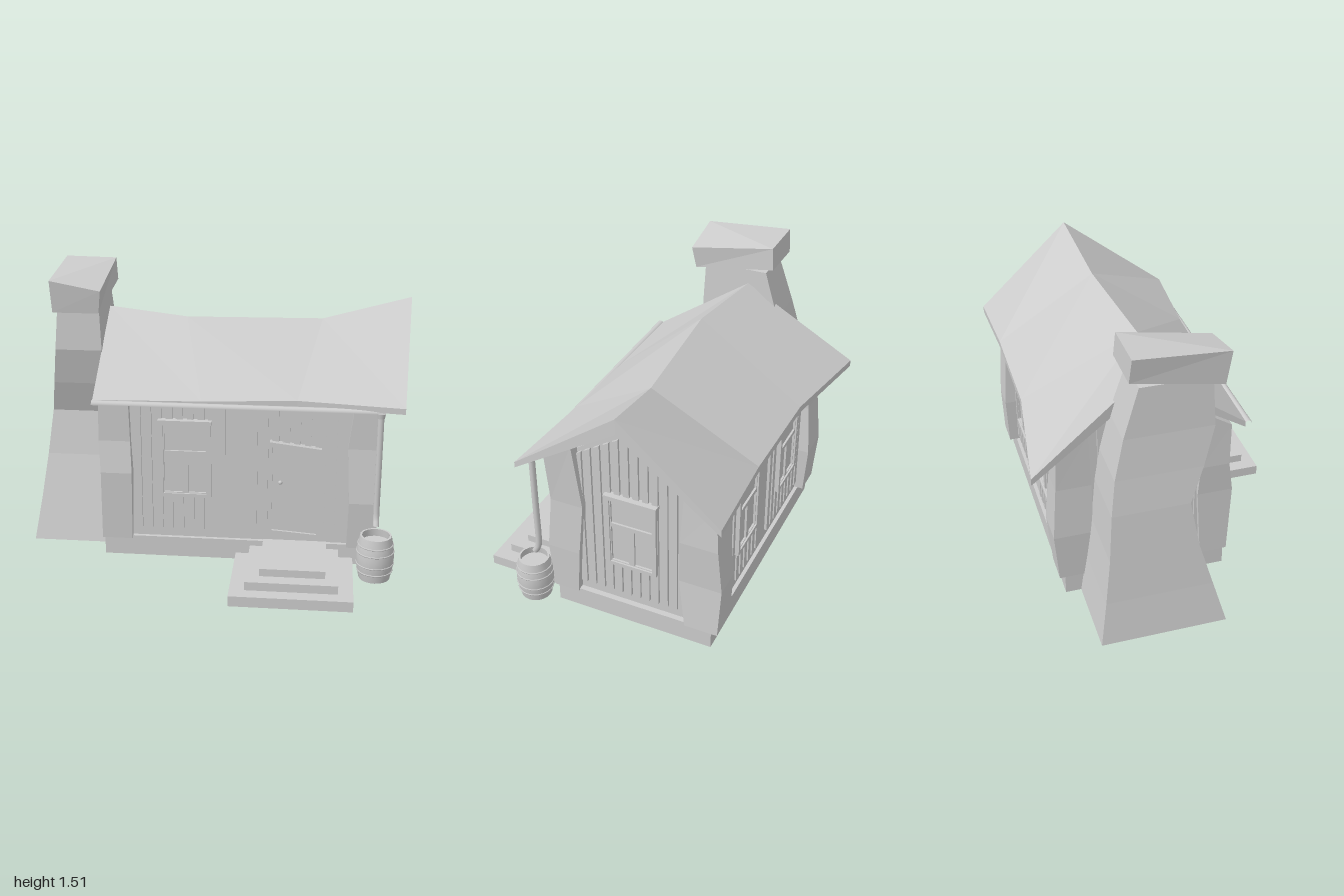
import * as THREE from 'three';
import { toCreasedNormals } from 'three/addons/utils/BufferGeometryUtils.js';

const flat = new THREE.MeshStandardMaterial({ color: 0xcccccc, flatShading: true });
const smooth = new THREE.MeshStandardMaterial({ color: 0xcccccc, side: THREE.DoubleSide });

function add(parent, name, geometry, material = flat) {
  const mesh = new THREE.Mesh(geometry, material);
  mesh.name = name;
  parent.add(mesh);
  return mesh;
}

// Box between two corners
function block(parent, name, x0, x1, y0, y1, z0, z1) {
  const mesh = add(parent, name, new THREE.BoxGeometry(x1 - x0, y1 - y0, z1 - z0));
  mesh.position.set((x0 + x1) / 2, (y0 + y1) / 2, (z0 + z1) / 2);
  return mesh;
}

// Solid through four-cornered rings, capped at both ends
function loft(rings) {
  const p = [];
  const quad = (a, b, c, d) => p.push(...a, ...b, ...c, ...a, ...c, ...d);
  for (let i = 0; i < rings.length - 1; i++) {
    for (let j = 0; j < 4; j++) {
      const k = (j + 1) % 4;
      quad(rings[i][j], rings[i][k], rings[i + 1][k], rings[i + 1][j]);
    }
  }
  const s = rings[0], e = rings[rings.length - 1];
  quad(s[3], s[2], s[1], s[0]);
  quad(e[0], e[1], e[2], e[3]);
  const g = new THREE.BufferGeometry();
  g.setAttribute('position', new THREE.Float32BufferAttribute(p, 3));
  g.computeVertexNormals();
  return g;
}

// Rectangular ring; yf is the height at the front edge, yb at the back edge
const ring = (x0, x1, z0, z1, yf, yb = yf) =>
  [[x0, yf, z1], [x1, yf, z1], [x1, yb, z0], [x0, yb, z0]];

const polygon = (pts) => new THREE.Shape(pts.map(([x, y]) => new THREE.Vector2(x, y)));
const rect = (x0, x1, y0, y1) => [[x0, y0], [x1, y0], [x1, y1], [x0, y1]];

// Extruded panel with holes, standing in xy and growing towards +z
function panel(outline, holes, depth) {
  const shape = polygon(outline);
  shape.holes = holes.map(polygon);
  return new THREE.ExtrudeGeometry(shape, { depth, bevelEnabled: false });
}

function makeWindow(parent, name, x, y, z, turn) {
  const g = new THREE.Group();
  g.name = name;
  add(g, 'casing', panel(rect(-0.135, 0.135, -0.21, 0.21), [rect(-0.113, 0.113, -0.19, 0.185)], 0.035));
  add(g, 'sash', panel(rect(-0.115, 0.115, -0.192, 0.187), [
    rect(-0.108, 0.108, 0.045, 0.18),
    rect(-0.108, -0.015, -0.185, 0.022),
    rect(0.015, 0.108, -0.185, 0.022)], 0.026));
  block(g, 'glass', -0.12, 0.12, -0.2, 0.2, 0, 0.015);
  block(g, 'head', -0.14, 0.14, 0.195, 0.215, 0, 0.042);
  g.position.set(x, y, z);
  g.rotation.y = turn;
  parent.add(g);
  return g;
}

export function createModel() {
  const model = new THREE.Group();
  model.name = 'cottage';

  block(model, 'foundation', -0.58, 0.84, 0.02, 0.13, -0.58, 0.27);

  // Wall core with gabled ends
  const walls = add(model, 'walls', panel(
    [[-0.25, 0.13], [0.56, 0.13], [0.56, 0.89], [0.16, 1.2], [-0.25, 0.92]], [], 1.36));
  walls.rotation.y = Math.PI / 2;
  walls.position.x = -0.55;

  // Raised boards on all four walls
  const boards = new THREE.Group();
  boards.name = 'wallBoards';
  model.add(boards);
  for (let x = -0.41; x < 0.69; x += 0.055) {
    if (x > 0.08 && x < 0.15) continue;
    block(boards, 'frontBoard', x, x + 0.034, 0.18, 0.9, 0.245, 0.264);
    block(boards, 'backBoard', x, x + 0.034, 0.18, 0.885, -0.574, -0.555);
  }
  const gableTop = (z) => 1.155 - 0.62 * Math.abs(z + 0.155);
  for (let z = -0.44; z < 0.13; z += 0.05) {
    const z1 = z + 0.032;
    for (const [x0, x1] of [[0.8, 0.824], [-0.564, -0.54]]) {
      add(boards, 'gableBoard', loft([ring(x0, x1, z, z1, 0.18), ring(x0, x1, z, z1, gableTop(z1), gableTop(z))]));
    }
  }

  // Crooked corner posts
  add(model, 'frontLeftPost', loft([
    ring(0.7, 0.85, 0.15, 0.285, 0.12), ring(0.705, 0.855, 0.13, 0.305, 0.38),
    ring(0.69, 0.845, 0.105, 0.28, 0.67), ring(0.72, 0.865, 0.14, 0.29, 0.93, 1.04)]));
  add(model, 'backLeftPost', loft([
    ring(0.7, 0.86, -0.62, -0.445, 0.13), ring(0.69, 0.845, -0.632, -0.41, 0.4),
    ring(0.7, 0.86, -0.615, -0.42, 0.65), ring(0.71, 0.85, -0.6, -0.44, 0.98, 0.89)]));
  add(model, 'frontRightPost', loft([
    ring(-0.59, -0.43, 0.14, 0.285, 0.12), ring(-0.585, -0.422, 0.12, 0.305, 0.5),
    ring(-0.595, -0.43, 0.13, 0.28, 0.67), ring(-0.59, -0.435, 0.14, 0.285, 0.9, 0.99)]));
  add(model, 'backRightPost', loft([
    ring(-0.59, -0.43, -0.61, -0.45, 0.13), ring(-0.6, -0.415, -0.632, -0.43, 0.4),
    ring(-0.585, -0.43, -0.61, -0.43, 0.68), ring(-0.59, -0.42, -0.6, -0.44, 0.98, 0.89)]));

  // Windows
  makeWindow(model, 'frontWindow', -0.145, 0.58, 0.25, 0);
  makeWindow(model, 'gableWindow', 0.81, 0.58, -0.153, Math.PI / 2);
  makeWindow(model, 'backWindow', 0.4, 0.585, -0.56, Math.PI);
  makeWindow(model, 'backWindow', -0.17, 0.585, -0.56, Math.PI);

  // Sagging roof: front eave, ridge and back eave at four stations
  const front = [[-0.605, 0.915, 0.35], [-0.05, 0.925, 0.35], [0.43, 0.945, 0.35], [0.96, 0.935, 0.393]];
  const ridge = [[-0.6, 1.275, -0.165], [-0.17, 1.25, -0.075], [0.54, 1.245, -0.125], [1, 1.36, -0.172]];
  const back = [[-0.71, 0.87, -0.745], [-0.09, 0.91, -0.665], [0.5, 0.925, -0.665], [0.98, 0.9, -0.675]];
  const drop = ([x, y, z], d) => [x, y - d, z];
  add(model, 'frontRoof', loft(ridge.map((r, i) =>
    [drop(front[i], 0.03), drop(r, 0.08), r, front[i]])));
  add(model, 'backRoof', loft(ridge.map((r, i) =>
    [drop(r, 0.08), drop(back[i], 0.035), back[i], r])));

  // Bowed chimney with a tilted cap
  add(model, 'chimney', loft([
    ring(-1, -0.575, -0.5, 0.14, 0.02), ring(-0.965, -0.58, -0.465, 0.075, 0.25),
    ring(-0.935, -0.585, -0.435, 0.01, 0.48), ring(-0.905, -0.59, -0.415, -0.03, 0.72),
    ring(-0.875, -0.6, -0.39, 0.04, 0.9), ring(-0.845, -0.6, -0.34, 0.1, 1.1),
    ring(-0.825, -0.61, -0.26, 0.09, 1.35)]));
  add(model, 'chimneyCap', loft([
    [[-0.84, 1.31, 0.145], [-0.6, 1.31, 0.145], [-0.58, 1.39, -0.31], [-0.84, 1.39, -0.31]],
    [[-0.845, 1.48, 0.17], [-0.585, 1.43, 0.165], [-0.585, 1.51, -0.3], [-0.855, 1.515, -0.3]]]));

  // Slanted door in its frame
  const door = new THREE.Group();
  door.name = 'door';
  const leaf = [[0.308, 0.205], [0.542, 0.188], [0.545, 0.64], [0.308, 0.67]];
  add(door, 'doorFrame', panel([[0.293, 0.18], [0.555, 0.18], [0.557, 0.665], [0.293, 0.697]], [leaf], 0.04));
  add(door, 'doorLeaf', panel(leaf, [], 0.027));
  add(door, 'doorKnob', new THREE.SphereGeometry(0.011, 12, 8), smooth).position.set(0.35, 0.475, 0.036);
  door.position.z = 0.25;
  model.add(door);

  // Steps: hollow treads with the smallest one solid
  const treads = [[0.12, 0.735, 0.745, 0, 0.055], [0.195, 0.66, 0.675, 0.055, 0.1], [0.265, 0.595, 0.605, 0.1, 0.14]];
  treads.forEach(([x0, x1, z1, y0, y1], i) => {
    const next = treads[i + 1];
    const holes = next ? [rect(next[0] + 0.01, next[1] - 0.01, -next[2] + 0.01, -0.28)] : [];
    const step = add(model, 'step', panel(rect(x0, x1, -z1, -0.265), holes, y1 - y0));
    step.rotation.x = -Math.PI / 2;
    step.position.y = y0;
  });

  // Gutter and downpipe
  const gutter = add(model, 'gutter',
    new THREE.CylinderGeometry(0.019, 0.019, 1.47, 10, 1, true, -Math.PI / 2, Math.PI), smooth);
  gutter.rotation.set(0, 0, -Math.PI / 2);
  gutter.rotateY(-Math.PI / 2);
  gutter.position.set(0.13, 0.9, 0.366);
  const path = new THREE.CatmullRomCurve3([[0.88, 0.372], [0.6, 0.372], [0.37, 0.372], [0.335, 0.377], [0.3, 0.397]]
    .map(([y, z]) => new THREE.Vector3(0.843, y, z)));
  add(model, 'downpipe', new THREE.TubeGeometry(path, 24, 0.016, 10), smooth);
  add(model, 'pipeCollar', new THREE.CylinderGeometry(0.023, 0.018, 0.025, 10), smooth).position.set(0.843, 0.888, 0.372);

  // Rain barrel, open at the top
  const barrel = new THREE.Group();
  barrel.name = 'rainBarrel';
  const profile = [[0, 0], [0.08, 0], [0.092, 0.06], [0.097, 0.118], [0.092, 0.175], [0.08, 0.235],
    [0.07, 0.235], [0.074, 0.195], [0, 0.195]].map(([x, y]) => new THREE.Vector2(x, y));
  add(barrel, 'staves', toCreasedNormals(new THREE.LatheGeometry(profile, 20), 0.6), smooth);
  for (const [r, y] of [[0.0895, 0.045], [0.0945, 0.085], [0.0945, 0.15], [0.0895, 0.19]]) {
    const hoop = add(barrel, 'hoop', new THREE.TorusGeometry(r, 0.004, 6, 20), smooth);
    hoop.rotation.x = Math.PI / 2;
    hoop.position.y = y;
  }
  barrel.position.set(0.845, 0.025, 0.408);
  model.add(barrel);

  return model;
}
